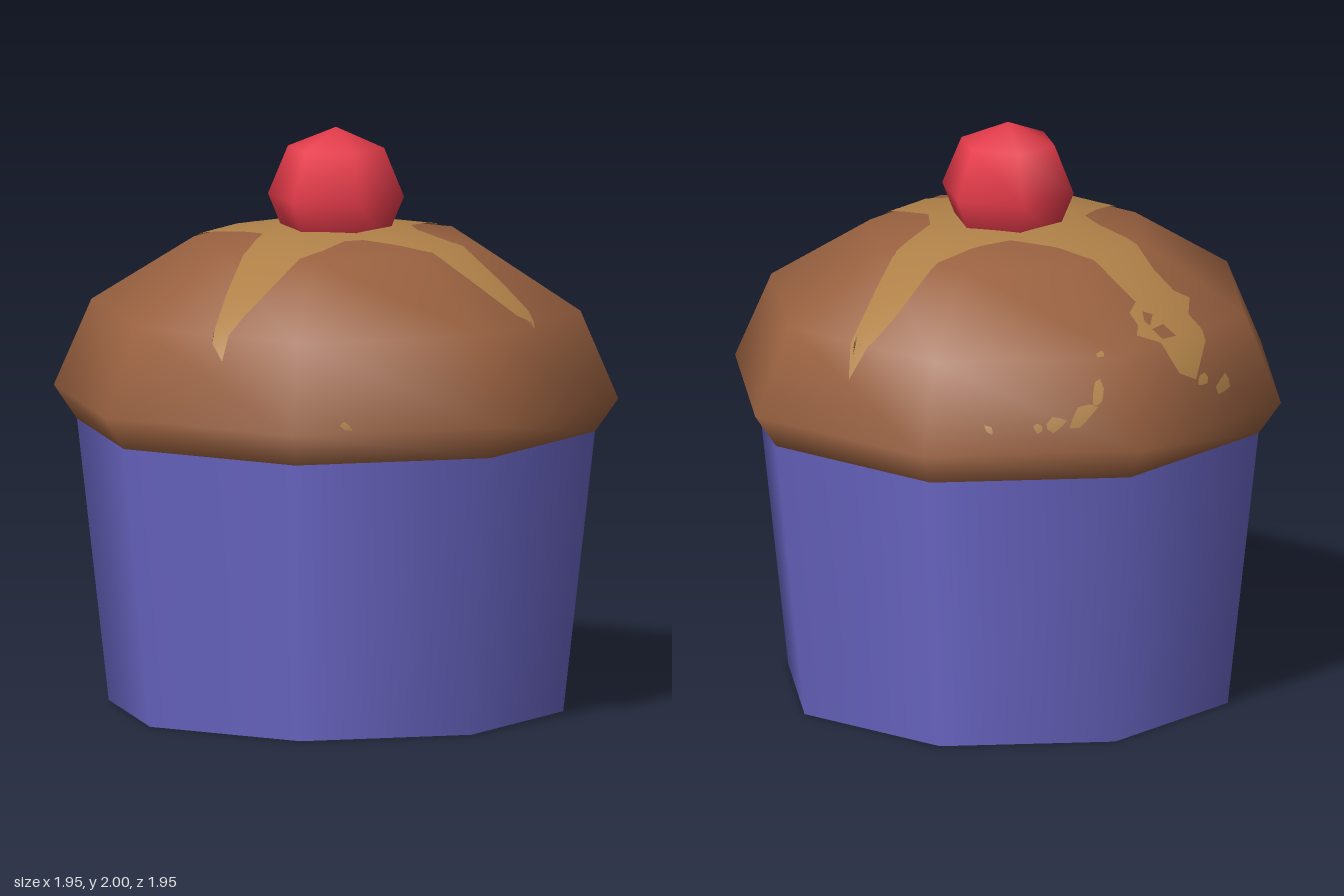
import * as THREE from 'three';

const SIDES = 8;
const HALF = Math.PI / SIDES;

// Cake profile, [radius, height], from the wrapper to the crown
const PROFILE = [[0.895, 0.97], [0.975, 1.085], [0.845, 1.385], [0.49, 1.61], [0.2, 1.655], [0, 1.66]];

const material = (name, color) => {
  const m = new THREE.MeshStandardMaterial({ color });
  m.name = name;
  return m;
};

// Height of the eight-sided cake top above a point (x, z)
function cakeHeight(x, z) {
  let rho = 0;
  for (let k = 0; k < SIDES; k++) {
    const a = HALF * (2 * k + 1);
    rho = Math.max(rho, (x * Math.sin(a) + z * Math.cos(a)) / Math.cos(HALF));
  }
  for (let i = 1; i < PROFILE.length - 1; i++) {
    const [r0, y0] = PROFILE[i], [r1, y1] = PROFILE[i + 1];
    if (rho >= r1) return y0 + (y1 - y0) * (r0 - Math.min(rho, r0)) / (r0 - r1);
  }
  return PROFILE[PROFILE.length - 1][1];
}

// Drapes a flat shape, drawn in (x, -z), over the cake as a thin skin
function drape(shape, steps) {
  const flat = new THREE.ShapeGeometry(shape, 6);
  const p = flat.attributes.position, index = flat.index.array;
  const positions = [], normals = [], faces = [];
  for (let t = 0; t < index.length; t += 3) {
    const [a, b, c] = [0, 1, 2].map((i) => new THREE.Vector3().fromBufferAttribute(p, index[t + i]));
    const start = positions.length / 3;
    const id = (i, j) => start + i * (i + 1) / 2 + j;
    for (let i = 0; i <= steps; i++) {
      for (let j = 0; j <= i; j++) {
        const q = new THREE.Vector3()
          .addScaledVector(a, 1 - i / steps)
          .addScaledVector(b, (i - j) / steps)
          .addScaledVector(c, j / steps);
        const v = new THREE.Vector3(q.x, cakeHeight(q.x, -q.y), -q.y);
        const n = new THREE.Vector3(v.x / 0.95, (v.y - 1.07) / 0.36, v.z / 0.95).normalize();
        v.addScaledVector(n, 0.006);
        positions.push(v.x, v.y, v.z);
        normals.push(n.x, n.y, n.z);
        if (i < steps) faces.push(id(i, j), id(i + 1, j), id(i + 1, j + 1));
        if (j < i && i < steps) faces.push(id(i, j), id(i + 1, j + 1), id(i, j + 1));
      }
    }
  }
  const g = new THREE.BufferGeometry();
  g.setAttribute('position', new THREE.Float32BufferAttribute(positions, 3));
  g.setAttribute('normal', new THREE.Float32BufferAttribute(normals, 3));
  g.setIndex(faces);
  return g;
}

const toPoints = (list) => list.map(([x, z]) => new THREE.Vector2(x, -z));

export function createModel() {
  const model = new THREE.Group();
  model.name = 'cupcake';

  const wrapperBlue = material('wrapper blue', 0x6c68c8);
  const cakeBrown = material('cake brown', 0x996140);
  const syrupGold = material('syrup gold', 0xb08148);
  const cherryRed = material('cherry red', 0xe53b4a);
  syrupGold.side = THREE.DoubleSide;

  const add = (name, geometry, mat) => {
    const mesh = new THREE.Mesh(geometry, mat);
    mesh.name = name;
    model.add(mesh);
    return mesh;
  };

  // Tapered paper wrapper
  add('wrapper', new THREE.CylinderGeometry(0.895, 0.785, 0.972, SIDES), wrapperBlue).position.y = 0.486;

  // Domed cake top
  add('cakeTop', new THREE.LatheGeometry(PROFILE.map(([r, y]) => new THREE.Vector2(r, y)), SIDES), cakeBrown);

  // Cherry
  add('cherry', new THREE.SphereGeometry(0.235, 6, 4), cherryRed).position.y = 1.765;

  // Four-armed syrup splash with two gaps in its ragged arm
  const splash = new THREE.Shape(toPoints([
    [-0.08, -0.23], [0.03, -0.33], [0.13, -0.47], [0.21, -0.65], [0.26, -0.73], [0.33, -0.76], [0.34, -0.71],
    [0.31, -0.5], [0.28, -0.33], [0.24, -0.12], [0.28, -0.01], [0.4, 0.07],
    [0.6, 0.17], [0.7, 0.24], [0.73, 0.3], [0.67, 0.32], [0.5, 0.29], [0.3, 0.26],
    [0.13, 0.23], [0.07, 0.26], [0.01, 0.39], [-0.1, 0.53], [-0.21, 0.67], [-0.27, 0.77],
    [-0.31, 0.73], [-0.29, 0.55], [-0.25, 0.35], [-0.23, 0.14], [-0.3, 0.07],
    [-0.43, -0.01], [-0.55, -0.1], [-0.63, -0.13], [-0.68, -0.11], [-0.7, -0.19], [-0.77, -0.22], [-0.77, -0.33],
    [-0.73, -0.39], [-0.66, -0.42], [-0.6, -0.46], [-0.59, -0.41], [-0.55, -0.38], [-0.55, -0.31],
    [-0.4, -0.26], [-0.25, -0.23],
  ]));
  splash.holes.push(
    new THREE.Path(toPoints([[-0.7, -0.33], [-0.67, -0.39], [-0.63, -0.38], [-0.65, -0.32]])),
    new THREE.Path(toPoints([[-0.62, -0.37], [-0.6, -0.37], [-0.58, -0.33], [-0.61, -0.31]])),
  );
  add('syrupSplash', drape(splash, 20), syrupGold);

  // Loose drips near the rim: [degrees from the back, ring radius, half width, half depth]
  const drips = [
    [40, 0.835, 0.016, 0.014], [38, 0.895, 0.022, 0.02], [34, 0.925, 0.055, 0.014], [28, 0.935, 0.045, 0.01],
    [24, 0.94, 0.02, 0.007], [13, 0.94, 0.018, 0.006], [75, 0.925, 0.045, 0.012], [69, 0.91, 0.03, 0.009],
    [191, 0.965, 0.022, 0.006],
  ];
  drips.forEach(([deg, ring, w, d], i) => {
    const a = deg * Math.PI / 180;
    const r = ring * Math.cos(HALF) / Math.cos((a % (2 * HALF)) - HALF);
    const outline = [];
    for (let k = 0; k < 7; k++) {
      const t = k / 7 * Math.PI * 2;
      const s = 0.85 + 0.2 * Math.sin(k * 2.3 + i);
      const u = w * s * Math.cos(t), v = r + d * s * Math.sin(t);
      outline.push([-v * Math.sin(a) - u * Math.cos(a), -v * Math.cos(a) + u * Math.sin(a)]);
    }
    add('syrupDrip' + (i + 1), drape(new THREE.Shape(toPoints(outline)), 4), syrupGold);
  });

  return model;
}
